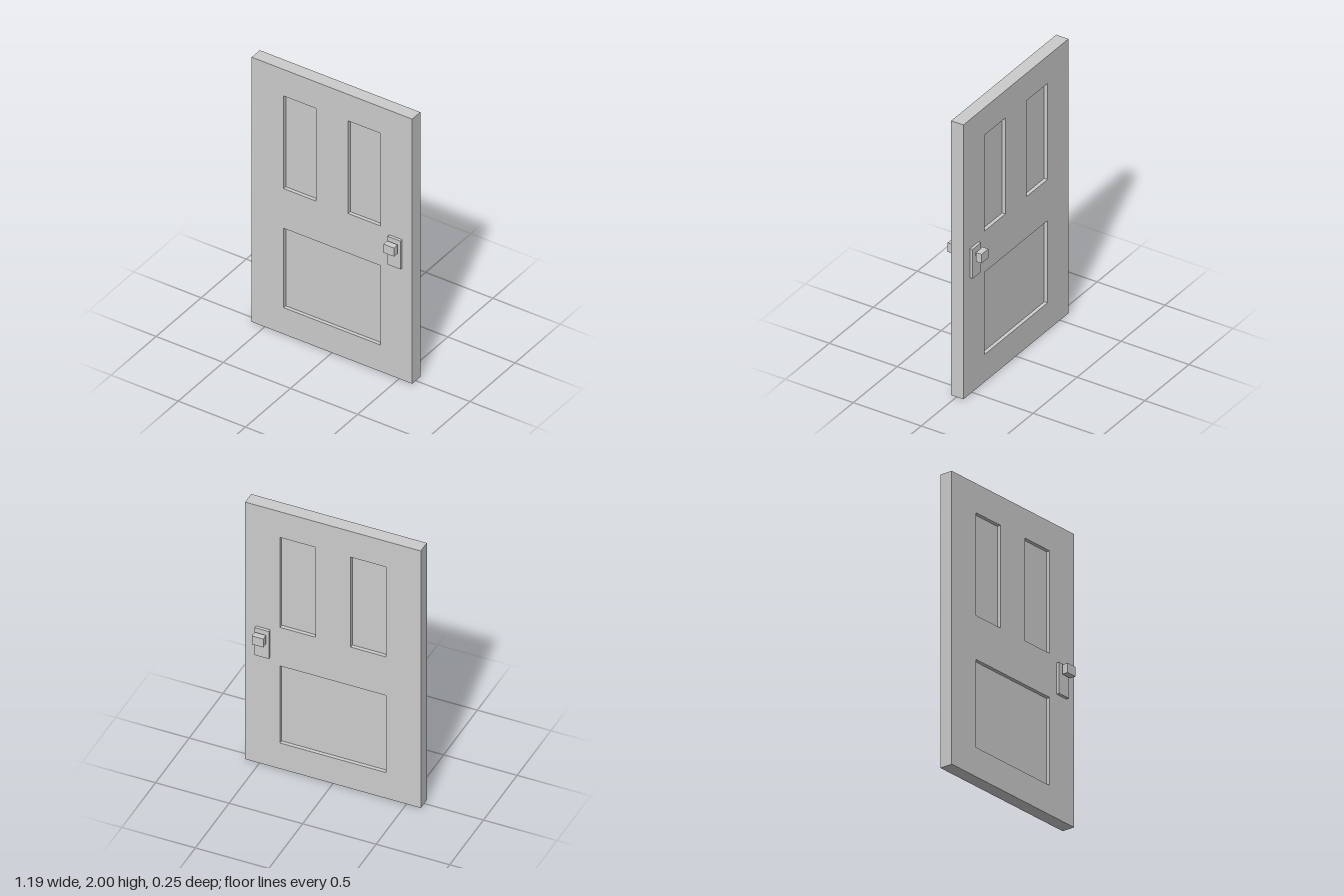
import * as THREE from 'three';

const material = new THREE.MeshStandardMaterial({ color: 0xcccccc, flatShading: true });

// Door slab extents in depth
const BACK = -0.05, FRONT = 0.04, RECESS = 0.025;

// Panel openings: x0, x1, y0, y1
const PANELS = [
  ['upperRightPanel', -0.36, -0.12, 1.1, 1.8],
  ['upperLeftPanel', 0.12, 0.36, 1.1, 1.8],
  ['lowerPanel', -0.36, 0.36, 0.2, 0.8],
];

function box(name, x0, x1, y0, y1, z0, z1) {
  const mesh = new THREE.Mesh(new THREE.BoxGeometry(x1 - x0, y1 - y0, z1 - z0), material);
  mesh.position.set((x0 + x1) / 2, (y0 + y1) / 2, (z0 + z1) / 2);
  mesh.name = name;
  return mesh;
}

function outline(path, x0, x1, y0, y1) {
  path.moveTo(x0, y0);
  path.lineTo(x1, y0);
  path.lineTo(x1, y1);
  path.lineTo(x0, y1);
  path.closePath();
  return path;
}

// Back plate, stem and block knob, stacked outward from one face of the door
function createHandle(name, face, side) {
  const handle = new THREE.Group();
  handle.name = name;
  const layer = (part, x0, x1, y0, y1, d0, d1) => {
    const z = [face + side * d0, face + side * d1].sort((a, b) => a - b);
    handle.add(box(part, x0, x1, y0, y1, z[0], z[1]));
  };
  layer('handlePlate', 0.427, 0.523, 0.847, 1.06, 0, 0.02);
  layer('handleStem', 0.465, 0.489, 0.995, 1.019, 0.02, 0.04);
  layer('handleKnob', 0.437, 0.515, 0.975, 1.04, 0.038, 0.08);
  return handle;
}

export function createModel() {
  const door = new THREE.Group();
  door.name = 'door';

  // Frame with three openings cut through
  const shape = outline(new THREE.Shape(), -0.597, 0.597, 0, 2);
  for (const [, ...rect] of PANELS) shape.holes.push(outline(new THREE.Path(), ...rect));
  const frame = new THREE.Mesh(
    new THREE.ExtrudeGeometry(shape, { depth: FRONT - BACK, bevelEnabled: false }), material);
  frame.position.z = BACK;
  frame.name = 'doorFrame';
  door.add(frame);

  // Panels recessed from both faces
  for (const [name, ...rect] of PANELS) {
    door.add(box(name, ...rect, BACK + RECESS, FRONT - RECESS));
  }

  door.add(createHandle('frontHandle', FRONT, 1), createHandle('backHandle', BACK, -1));
  return door;
}
